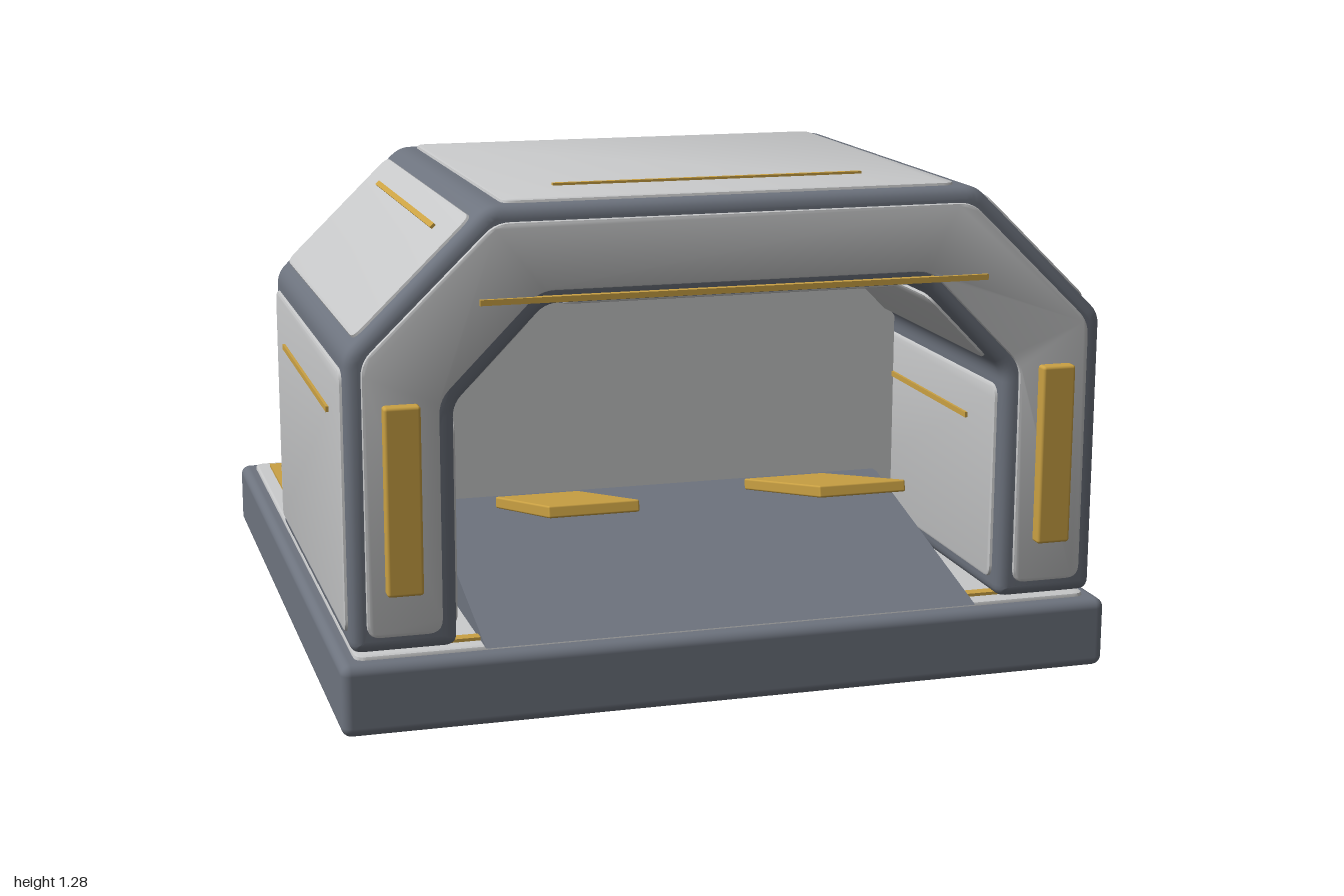
import * as THREE from 'three';
import { toCreasedNormals } from 'three/addons/utils/BufferGeometryUtils.js';
import { RoundedBoxGeometry } from 'three/addons/geometries/RoundedBoxGeometry.js';

const material = (name, color) => {
  const m = new THREE.MeshStandardMaterial({ color });
  m.name = name;
  return m;
};

// Closed shape through corner points, with each corner rounded
function roundPoly(points, r) {
  const shape = new THREE.Shape();
  const p = points.map(([x, y]) => new THREE.Vector2(x, y));
  p.forEach((c, i) => {
    const prev = p[(i + p.length - 1) % p.length], next = p[(i + 1) % p.length];
    const a = c.clone().add(prev.clone().sub(c).setLength(r));
    const b = c.clone().add(next.clone().sub(c).setLength(r));
    if (i === 0) shape.moveTo(a.x, a.y); else shape.lineTo(a.x, a.y);
    shape.quadraticCurveTo(c.x, c.y, b.x, b.y);
  });
  shape.closePath();
  return shape;
}

// Extrusion with rounded edges that stays inside its outline, from z = 0 to depth
function slab(shape, depth, bevel, segments) {
  const g = new THREE.ExtrudeGeometry(shape, {
    depth: depth - 2 * bevel, bevelEnabled: true, bevelSize: bevel, bevelThickness: bevel,
    bevelOffset: -bevel, bevelSegments: segments, curveSegments: 5,
  });
  g.translate(0, 0, bevel);
  return toCreasedNormals(g, 0.6);
}

// Raised panel facing +z, standing `rise` above z = 0
function panelGeometry(w, h, r, rise = 0.01) {
  const x = w / 2, y = h / 2;
  const g = slab(roundPoly([[-x, -y], [x, -y], [x, y], [-x, y]], r), 0.03, 0.007, 2);
  return g.translate(0, 0, rise - 0.03);
}

export function createModel() {
  const root = new THREE.Group();
  root.name = 'hangarBuilding';
  const light = material('light grey panel', 0xc6c7c8);
  const dark = material('slate frame', 0x6d737e);
  const gold = material('gold trim', 0xcaa143);

  const add = (parent, name, geometry, mat, pos = [0, 0, 0], rot = [0, 0, 0]) => {
    const m = new THREE.Mesh(geometry, mat);
    m.name = name;
    m.position.set(...pos);
    m.rotation.set(...rot);
    parent.add(m);
    return m;
  };
  const box = (parent, name, size, mat, pos, rot) =>
    add(parent, name, new THREE.BoxGeometry(...size), mat, pos, rot);
  const H = Math.PI / 2;

  // Base slab with top and bottom plates
  const base = new THREE.Group();
  base.name = 'base';
  root.add(base);
  add(base, 'baseSlab', new RoundedBoxGeometry(1.98, 0.18, 1.98, 3, 0.025), dark, [0, 0.1, 0]);
  add(base, 'baseTopPlate', panelGeometry(1.9, 1.9, 0.03), light, [0, 0.19, 0], [-H, 0, 0]);
  add(base, 'baseBottomPlate', panelGeometry(1.9, 1.9, 0.03), light, [0, 0.01, 0], [H, 0, 0]);

  // Gold border line on the base
  for (const s of [-1, 1]) {
    box(base, 'borderSide', [0.03, 0.012, 1.81], gold, [s * 0.895, 0.202, 0]);
    box(base, 'borderEnd', [1.76, 0.012, 0.03], gold, [0, 0.202, s * 0.89]);
  }

  // Arch frame
  const arch = new THREE.Group();
  arch.name = 'arch';
  root.add(arch);
  const back = -0.21, front = 0.96, depth = front - back, mid = (front + back) / 2;
  const mirror = (pts) => [...pts, ...pts.map(([x, y]) => [-x, y]).reverse()];
  const outer = mirror([[-0.96, 0.207], [-0.96, 0.935], [-0.615, 1.27]]);
  const inner = mirror([[0.7, 0.207], [0.7, 0.8], [0.475, 1.03]]);
  add(arch, 'archFrame', slab(roundPoly([...outer, ...inner], 0.03), depth, 0.03, 4), dark, [0, 0, back]);

  // Panels on every outer and inner arch face, with gold lines running along some of them
  const cover = (pts, lines, name) => {
    for (let i = 0; i < pts.length - 1; i++) {
      const [ax, ay] = pts[i], [bx, by] = pts[i + 1];
      const face = new THREE.Group();
      face.name = name + 'Face';
      face.position.set((ax + bx) / 2, (ay + by) / 2, mid);
      face.rotation.z = Math.atan2(by - ay, bx - ax);
      arch.add(face);
      const w = Math.hypot(bx - ax, by - ay) - 0.085;
      add(face, name + 'Panel', panelGeometry(w, depth - 0.08, 0.035, 0.008), light, [0, 0, 0], [-H, 0, 0]);
      if (lines[i]) box(face, name + 'Line', [0.014, 0.02, 0.76], gold, [lines[i], 0.005, 0]);
    }
  };
  cover(outer, [0.193, 0.125, 0, -0.125, -0.193], 'outer');
  cover(inner, [0.14, 0, 0, 0, -0.14], 'inner');
  box(arch, 'roofLine', [0.8, 0.02, 0.014], gold, [0, 1.274, 0.71]);

  // Arch-shaped panels on the front and back ends
  const rim = [
    ...mirror([[-0.922, 0.247], [-0.922, 0.918], [-0.598, 1.232]]),
    ...mirror([[0.738, 0.247], [0.738, 0.817], [0.492, 1.066]]),
  ];
  for (const z of [front - 0.022, back - 0.008]) {
    add(arch, 'endPanel', slab(roundPoly(rim, 0.035), 0.03, 0.007, 2), light, [0, 0, z]);
  }
  for (const z of [front + 0.009, back - 0.009]) {
    box(arch, 'lintelLine', [1.28, 0.014, 0.018], gold, [0, 1.047, z]);
  }

  // Lamps on the front legs
  for (const s of [-1, 1]) {
    add(arch, 'legLamp', new RoundedBoxGeometry(0.088, 0.46, 0.04, 2, 0.008), gold, [s * 0.832, 0.585, 0.979]);
  }

  // Inner chamber running out of the back of the arch
  box(root, 'chamber', [1.38, 0.805, 0.965], light, [0, 0.6025, -0.2425]);

  // Entry ramp
  const wedge = new THREE.Shape();
  wedge.moveTo(-0.97, 0.2);
  wedge.lineTo(-0.24, 0.2);
  wedge.lineTo(-0.24, 0.373);
  wedge.lineTo(-0.27, 0.373);
  wedge.closePath();
  const ramp = new THREE.ExtrudeGeometry(wedge, { depth: 1.27, bevelEnabled: false });
  add(root, 'ramp', ramp.translate(0, 0, -0.635), dark, [0, 0, 0], [0, H, 0]);

  // Tilted pads above the ramp, raised toward the front
  for (const s of [-1, 1]) {
    add(root, 'tiltedPad', new RoundedBoxGeometry(0.23, 0.03, 0.61, 2, 0.005), gold,
      [s * 0.348, 0.442, 0.607], [-0.222, 0, 0]);
  }

  // Rear unit with panels on its sides, top and ends
  const unit = new THREE.Group();
  unit.name = 'rearUnit';
  unit.position.set(0, 0.602, -0.8625);
  root.add(unit);
  add(unit, 'rearUnitBody', new RoundedBoxGeometry(0.9, 0.785, 0.245, 4, 0.03), dark);
  add(unit, 'rearUnitTop', panelGeometry(0.8, 0.15, 0.07), light, [0, 0.3925, 0], [-H, 0, 0]);
  for (const s of [-1, 1]) {
    add(unit, 'rearUnitSide', panelGeometry(0.15, 0.69, 0.07, 0.012), light, [s * 0.45, 0, 0], [0, s * H, 0]);
    add(unit, 'rearUnitEnd', panelGeometry(0.82, 0.71, 0.05, 0.008), light,
      [0, 0, s * 0.1225], [0, s > 0 ? 0 : Math.PI, 0]);
  }
  return root;
}
